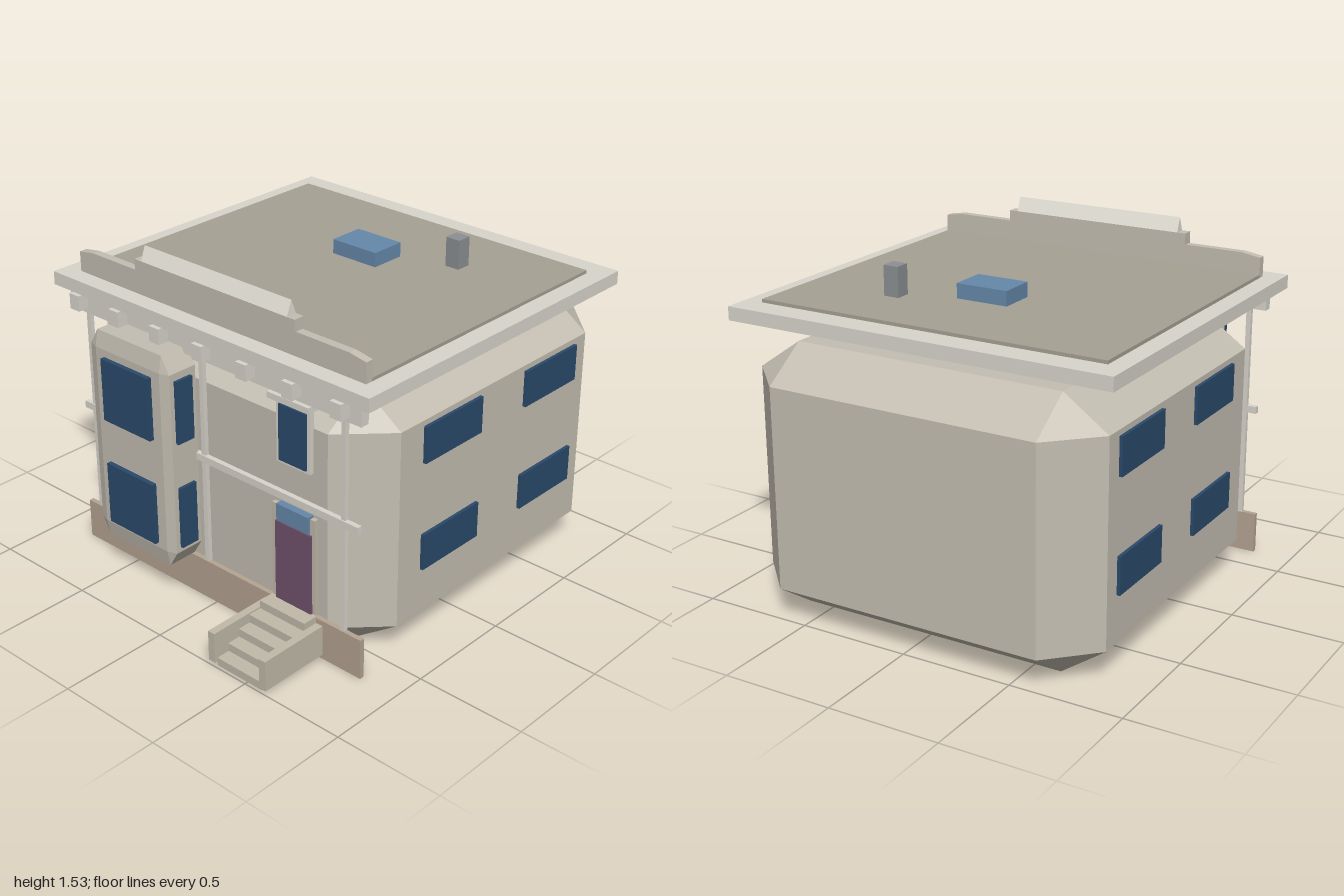
import * as THREE from 'three';
import { ConvexGeometry } from 'three/addons/geometries/ConvexGeometry.js';

const mat = (color) => new THREE.MeshStandardMaterial({ color, flatShading: true });

export function createModel() {
  const house = new THREE.Group();
  house.name = 'house';
  const wall = mat(0xc4beb2), trim = mat(0xd8d5cc), tan = mat(0xb5a492), stone = mat(0xc2baaa);
  const roofing = mat(0xa6a194), glass = mat(0x2a4a6b), paleGlass = mat(0x6688aa);
  const metal = mat(0x8c9094), doorPaint = mat(0x70506c), cream = mat(0xe2dfd5);

  const add = (name, geometry, material) => {
    const mesh = new THREE.Mesh(geometry, material);
    mesh.name = name;
    house.add(mesh);
    return mesh;
  };

  // Box given by its limits on each axis
  const box = (name, material, x0, x1, y0, y1, z0, z1) => {
    const mesh = add(name, new THREE.BoxGeometry(x1 - x0, y1 - y0, z1 - z0), material);
    mesh.position.set((x0 + x1) / 2, (y0 + y1) / 2, (z0 + z1) / 2);
    return mesh;
  };

  // Box with every edge cut by a flat chamfer (cx, cy, cz)
  const chamferBox = (name, material, x0, x1, y0, y1, z0, z1, cx, cy, cz) => {
    const h = new THREE.Vector3((x1 - x0) / 2, (y1 - y0) / 2, (z1 - z0) / 2);
    const points = [];
    for (const sx of [-1, 1]) for (const sy of [-1, 1]) for (const sz of [-1, 1]) {
      points.push(
        new THREE.Vector3(sx * h.x, sy * (h.y - cy), sz * (h.z - cz)),
        new THREE.Vector3(sx * (h.x - cx), sy * h.y, sz * (h.z - cz)),
        new THREE.Vector3(sx * (h.x - cx), sy * (h.y - cy), sz * h.z));
    }
    const mesh = add(name, new ConvexGeometry(points), material);
    mesh.position.set((x0 + x1) / 2, (y0 + y1) / 2, (z0 + z1) / 2);
  };

  // Outline in the x-y plane, pushed along z
  const slab = (name, material, outline, z0, z1) => {
    const shape = new THREE.Shape(outline.map(([x, y]) => new THREE.Vector2(x, y)));
    const geometry = new THREE.ExtrudeGeometry(shape, { depth: z1 - z0, bevelEnabled: false });
    add(name, geometry.translate(0, 0, z0), material);
  };

  // Main body and front base
  chamferBox('body', wall, -0.82, 0.82, 0, 1.175, -1, 0.64, 0.2, 0.14, 0.2);
  box('frontBase', tan, -0.82, 0.82, 0, 0.185, 0.643, 0.665);

  // Side windows, two by two on each side
  for (const side of [-1, 1])
    for (const y of [0.35, 0.845])
      for (const z of [-0.06, -0.72])
        box('sideWindow', glass, side * 0.822 - 0.013, side * 0.822 + 0.013, y, y + 0.165,
          z === -0.06 ? -0.06 : -0.72, z === -0.06 ? 0.3 : -0.36);

  // Bay with front and side windows
  chamferBox('bay', wall, -0.57, -0.095, 0.19, 1.18, 0.64, 0.812, 0.045, 0.075, 0.015);
  for (const y of [0.29, 0.785]) {
    box('bayFrontWindow', glass, -0.475, -0.19, y, y + 0.287, 0.8, 0.833);
    box('baySideWindow', glass, -0.585, -0.08, y, y + 0.287, 0.685, 0.775);
  }

  // Front posts and belt
  for (const x of [-0.745, -0.612, -0.057, 0.718])
    box('post', trim, x - 0.011, x + 0.011, 0.185, 1.155, 0.64, 0.66);
  box('belt', trim, -0.8, 0.8, 0.67, 0.702, 0.643, 0.666);

  // Upper window
  box('windowFrame', trim, 0.365, 0.545, 0.835, 1.12, 0.635, 0.66);
  box('windowGlass', glass, 0.385, 0.53, 0.85, 1.1, 0.64, 0.67);
  box('windowHead', trim, 0.345, 0.565, 1.12, 1.147, 0.635, 0.69);

  // Door
  box('doorFrame', stone, 0.335, 0.57, 0.185, 0.635, 0.635, 0.66);
  box('door', doorPaint, 0.36, 0.555, 0.19, 0.562, 0.64, 0.67);
  box('transom', paleGlass, 0.37, 0.545, 0.568, 0.645, 0.64, 0.672);

  // Steps between two cheek walls
  for (const x of [0.295, 0.58]) box('stairCheek', stone, x, x + 0.035, 0.02, 0.16, 0.665, 1);
  for (let i = 0; i < 5; i++)
    box('step', stone, 0.33, 0.58, i * 0.0385, i * 0.0385 + 0.037, 0.91 - i * 0.0625, 0.985 - i * 0.0625);

  // Cornice and brackets
  box('cornice', trim, -0.825, 0.825, 1.155, 1.25, 0.64, 0.682);
  for (let i = -3; i <= 3; i++)
    box('bracket', trim, i * 0.247 - 0.028, i * 0.247 + 0.028, 1.18, 1.25, 0.68, 0.735);

  // Roof
  box('roofSlab', trim, -0.89, 0.89, 1.25, 1.31, -0.91, 0.715);
  box('roofDeck', roofing, -0.805, 0.805, 1.305, 1.325, -0.795, 0.6);
  box('skylight', paleGlass, -0.12, 0.12, 1.32, 1.39, -0.38, -0.213);
  box('chimney', metal, 0.33, 0.4, 1.32, 1.457, -0.5, -0.43);

  // Stepped parapet with a ridge on top
  slab('parapet', wall, [[-0.805, 1.305], [0.805, 1.305], [0.805, 1.4], [0.72, 1.414],
    [-0.72, 1.414], [-0.805, 1.4]], 0.597, 0.634);
  box('parapetStep', wall, -0.45, 0.45, 1.412, 1.465, 0.59, 0.64);
  const ridge = new THREE.Shape([new THREE.Vector2(-0.025, 0), new THREE.Vector2(0.025, 0), new THREE.Vector2(0, 0.064)]);
  const ridgeGeometry = new THREE.ExtrudeGeometry(ridge, { depth: 0.82, bevelEnabled: false });
  ridgeGeometry.rotateY(Math.PI / 2).translate(-0.41, 1.465, 0.615);
  add('parapetRidge', ridgeGeometry, cream);

  return house;
}
